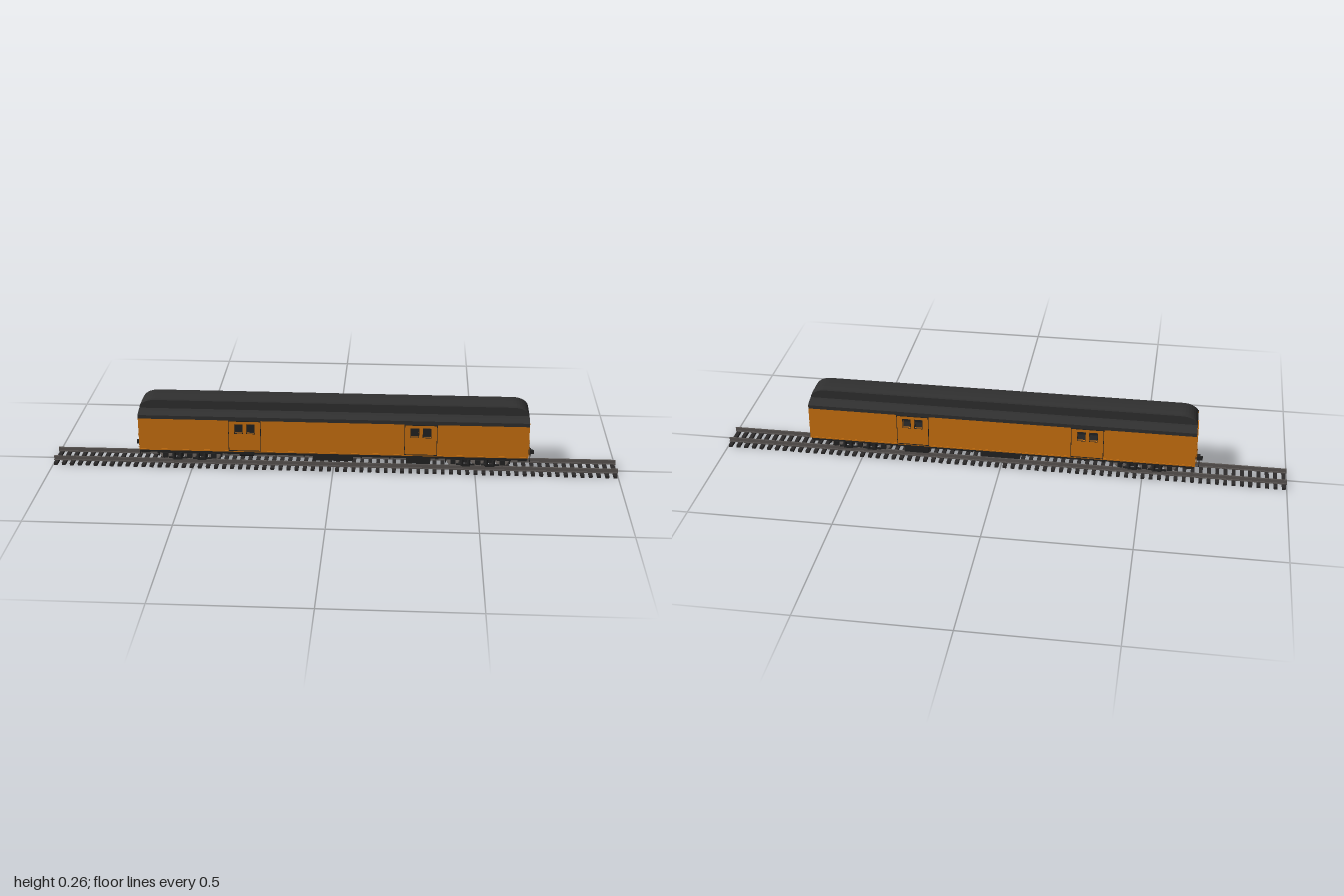
import * as THREE from 'three';

const mat = (name, color, side = THREE.FrontSide) => {
  const m = new THREE.MeshStandardMaterial({ color, side });
  m.name = name;
  return m;
};

export function createModel() {
  const orange = mat('body orange', 0xd07410);
  const trim = mat('shaded orange trim', 0x9c560c);
  const roofDark = mat('roof charcoal', 0x303030, THREE.DoubleSide);
  const black = mat('underframe black', 0x242424);
  const tieMat = mat('tie dark', 0x2c2a2a);
  const steel = mat('rail steel', 0x5c5754);
  const wheelMat = mat('wheel grey', 0x77706b);

  const car = new THREE.Group();
  car.name = 'baggageCarOnTrack';
  const add = (parent, name, geo, m, x = 0, y = 0, z = 0) => {
    const mesh = new THREE.Mesh(geo, m);
    mesh.name = name;
    mesh.position.set(x, y, z);
    parent.add(mesh);
    return mesh;
  };
  const group = (name, parent = car) => {
    const g = new THREE.Group();
    g.name = name;
    parent.add(g);
    return g;
  };
  // box given by its limits
  const box = (parent, name, m, x0, x1, y0, y1, z0, z1) =>
    add(parent, name, new THREE.BoxGeometry(x1 - x0, y1 - y0, z1 - z0), m,
      (x0 + x1) / 2, (y0 + y1) / 2, (z0 + z1) / 2);
  const cyl = (parent, name, m, r, len, axis, x, y, z, seg = 16) => {
    const geo = new THREE.CylinderGeometry(r, r, len, seg);
    if (axis === 'z') geo.rotateX(Math.PI / 2);
    if (axis === 'x') geo.rotateZ(Math.PI / 2);
    return add(parent, name, geo, m, x, y, z);
  };
  // flat panel with rectangular openings, [x0, x1, y0, y1]
  const rect = (S, [a, b, c, d]) => {
    const s = new S();
    s.moveTo(a, c).lineTo(b, c).lineTo(b, d).lineTo(a, d).closePath();
    return s;
  };
  const panel = (outer, holes, depth) => {
    const s = rect(THREE.Shape, outer);
    s.holes = holes.map(h => rect(THREE.Path, h));
    return new THREE.ExtrudeGeometry(s, { depth, bevelEnabled: false });
  };

  // ---- track ----
  const track = group('track');
  const tieGeo = new THREE.BoxGeometry(0.013, 0.009, 0.126);
  const ties = 70;
  for (let i = 0; i < ties; i++)
    add(track, 'tie', tieGeo, tieMat, -0.99 + (1.98 * i) / (ties - 1), 0.0045, 0);
  for (const s of [-1, 1]) {
    const z = s * 0.037;
    box(track, 'railFoot', steel, -1, 1, 0.009, 0.012, z - 0.005, z + 0.005);
    box(track, 'railWeb', steel, -1, 1, 0.012, 0.02, z - 0.001, z + 0.001);
    box(track, 'railHead', steel, -1, 1, 0.02, 0.025, z - 0.0025, z + 0.0025);
  }

  // ---- body sides, with doors and window openings ----
  const windows = [];
  for (const c of [-0.307, 0.307])
    for (const o of [-0.021, 0.021]) windows.push([c + o - 0.013, c + o + 0.013, 0.15, 0.182]);
  const body = group('body');
  for (const turn of [0, Math.PI]) {
    const side = group('sideWall', body);
    side.rotation.y = turn;
    add(side, 'sidePanel', panel([-0.68, 0.68, 0.078, 0.208], windows, 0.004), orange, 0, 0, 0.079);
    add(side, 'sideLining', panel([-0.675, 0.675, 0.078, 0.208], windows, 0.002), black, 0, 0, 0.077);
    box(side, 'letterboard', roofDark, -0.68, 0.68, 0.197, 0.21, 0.082, 0.0842);
    box(side, 'lowerSill', orange, -0.68, 0.68, 0.078, 0.083, 0.083, 0.0842);
    for (const c of [-0.307, 0.307]) {
      const holes = windows.filter(w => Math.abs(w[0] - c) < 0.1);
      add(side, 'baggageDoor', panel([c - 0.055, c + 0.055, 0.085, 0.194], holes, 0.003), orange, 0, 0, 0.083);
      for (const e of [-0.056, 0.056])
        box(side, 'doorEdge', black, c + e - 0.001, c + e + 0.001, 0.084, 0.196, 0.083, 0.0858);
      box(side, 'doorTrack', black, c - 0.057, c + 0.057, 0.194, 0.197, 0.083, 0.0866);
      box(side, 'doorStep', black, c - 0.057, c + 0.057, 0.082, 0.085, 0.083, 0.0866);
      for (const [a, b, lo, hi] of holes) {
        add(side, 'windowFrame', panel([a - 0.002, b + 0.002, lo - 0.002, hi + 0.002],
          [[a, b, lo, hi]], 0.001), black, 0, 0, 0.0858);
      }
    }
  }

  // ---- end walls with doorway, grab irons and couplers ----
  const endWindow = [-0.013, 0.013, 0.147, 0.182];
  for (const s of [1, -1]) {
    const end = group('endWall', body);
    end.rotation.y = s * Math.PI / 2;
    add(end, 'endPanel', panel([-0.083, 0.083, 0.078, 0.21], [endWindow], 0.004), orange, 0, 0, 0.6765);
    add(end, 'endLining', panel([-0.077, 0.077, 0.078, 0.208], [endWindow], 0.002), black, 0, 0, 0.6745);
    add(end, 'doorFrame', panel([-0.028, 0.028, 0.084, 0.2], [[-0.023, 0.023, 0.086, 0.194]], 0.004),
      orange, 0, 0, 0.68);
    add(end, 'doorOutline', panel([-0.023, 0.023, 0.086, 0.194], [[-0.0215, 0.0215, 0.088, 0.192]], 0.001),
      trim, 0, 0, 0.6805);
    add(end, 'frameOutline', panel([-0.0292, 0.0292, 0.083, 0.2012], [[-0.028, 0.028, 0.084, 0.2]], 0.001),
      trim, 0, 0, 0.6805);
    cyl(end, 'grabIron', trim, 0.001, 0.055, 'y', -0.058, 0.108, 0.685, 8);
    for (const y of [0.081, 0.135]) cyl(end, 'grabBracket', trim, 0.001, 0.006, 'z', -0.058, y, 0.683, 8);
    for (const x of [-0.078, 0.078])
      for (const y of [0.088, 0.135]) cyl(end, 'handholdBolt', trim, 0.0012, 0.004, 'z', x, y, 0.682, 8);
    // coupler
    box(end, 'drawbar', black, -0.006, 0.006, 0.064, 0.074, 0.64, 0.69);
    box(end, 'couplerHead', black, -0.01, 0.008, 0.061, 0.077, 0.687, 0.697);
    box(end, 'couplerKnuckle', black, -0.01, -0.003, 0.062, 0.076, 0.697, 0.706);
    box(end, 'bufferPlate', black, -0.014, 0.014, 0.066, 0.08, 0.68, 0.685);
    cyl(end, 'airHose', black, 0.0014, 0.04, 'y', 0.004, 0.046, 0.694, 8);
  }

  // ---- lower roof deck ----
  const deck = new THREE.Shape();
  deck.moveTo(-0.0845, 0.207).lineTo(0.0845, 0.207).lineTo(0.0845, 0.21)
    .quadraticCurveTo(0.07, 0.219, 0.046, 0.222).lineTo(-0.046, 0.222)
    .quadraticCurveTo(-0.07, 0.219, -0.0845, 0.21).closePath();
  const deckGeo = new THREE.ExtrudeGeometry(deck, { depth: 1.36, bevelEnabled: false, curveSegments: 6 });
  deckGeo.translate(0, 0, -0.68).rotateY(Math.PI / 2);
  add(car, 'roofDeck', deckGeo, roofDark);

  // ---- clerestory: sections along x, rounded down at both ends ----
  const sections = [];
  for (let i = 0; i <= 8; i++) {
    const a = (i / 8) * Math.PI / 2;
    sections.push([-0.625 - 0.055 * Math.cos(a), 0.222 + 0.039 * Math.sin(a)]);
  }
  sections.push(...sections.map(([x, h]) => [-x, h]).reverse());
  const half = [[0.046, 0], [0.046, 0.78], [0.043, 0.88], [0.025, 0.97], [0, 1]];
  const ring = [...half, ...half.slice(0, -1).reverse().map(([z, t]) => [-z, t])];
  const pos = [], idx = [], n = ring.length;
  for (const [x, h] of sections)
    for (const [z, t] of ring) pos.push(x, 0.221 + (h - 0.221) * t, z);
  for (let i = 0; i < sections.length - 1; i++)
    for (let j = 0; j < n - 1; j++) {
      const a = i * n + j, b = a + n;
      idx.push(a, b, a + 1, b, b + 1, a + 1);
    }
  let clerestory = new THREE.BufferGeometry();
  clerestory.setAttribute('position', new THREE.Float32BufferAttribute(pos, 3));
  clerestory.setIndex(idx);
  clerestory = clerestory.toNonIndexed();
  clerestory.computeVertexNormals();
  add(car, 'clerestory', clerestory, roofDark);

  // ---- underframe and equipment ----
  const under = group('underframe');
  box(under, 'floor', black, -0.678, 0.678, 0.068, 0.08, -0.077, 0.077);
  box(under, 'centreSill', black, -0.365, 0.365, 0.058, 0.07, -0.014, 0.014);
  for (const s of [-1, 1]) {
    box(under, 'sideSill', black, -0.365, 0.365, 0.063, 0.07, s * 0.066 - 0.004, s * 0.066 + 0.004);
    box(under, 'batteryBox', black, 0.257, 0.342, 0.041, 0.07, s * 0.05 - 0.018, s * 0.05 + 0.018);
    box(under, 'equipmentBox', black, -0.07, 0.07, 0.044, 0.07, s * 0.05 - 0.016, s * 0.05 + 0.016);
    for (const x of [-0.365, 0.365]) box(under, 'endSill', black, x - 0.006, x + 0.006, 0.06, 0.07, -0.07, 0.07);
    box(under, 'cornerStep', black, s * 0.66 - 0.015, s * 0.66 + 0.015, 0.064, 0.07, -0.077, 0.077);
  }
  for (let i = -3; i <= 3; i++)
    box(under, 'crossBeam', black, i * 0.1 - 0.003, i * 0.1 + 0.003, 0.06, 0.07, -0.07, 0.07);
  cyl(under, 'airTank', black, 0.01, 0.05, 'x', -0.305, 0.056, 0.045);
  cyl(under, 'brakeCylinder', black, 0.011, 0.07, 'x', 0.14, 0.057, -0.04);
  cyl(under, 'brakeRod', black, 0.002, 0.6, 'x', 0, 0.056, 0.024, 8);

  // ---- six-wheel trucks ----
  const wheelProfile = [[0, -0.004], [0.02, -0.004], [0.0215, -0.002], [0.0215, 0.002],
    [0.024, 0.0025], [0.024, 0.004], [0.019, 0.004], [0.017, 0.002], [0.008, 0.002], [0.006, 0.004], [0, 0.004]]
    .map(([r, y]) => new THREE.Vector2(r, y));
  const wheelGeo = new THREE.LatheGeometry(wheelProfile, 24);
  for (const c of [-0.508, 0.508]) {
    const truck = group('truck');
    truck.position.x = c;
    for (const x of [-0.086, 0, 0.086]) {
      cyl(truck, 'axle', wheelMat, 0.004, 0.11, 'z', x, 0.047, 0, 12);
      for (const s of [-1, 1]) {
        const wheel = add(truck, 'wheel', wheelGeo, wheelMat, x, 0.047, s * 0.037);
        wheel.rotation.x = -s * Math.PI / 2;
        box(truck, 'journalBox', black, x - 0.009, x + 0.009, 0.039, 0.056, s * 0.055 - 0.005, s * 0.055 + 0.005);
        for (const o of [-0.02, 0.02])
          box(truck, 'brakeShoe', black, x + o * 1.3 - 0.002, x + o * 1.3 + 0.002, 0.036, 0.056,
            s * 0.037 - 0.004, s * 0.037 + 0.004);
      }
    }
    for (const s of [-1, 1]) {
      const z = s * 0.053;
      box(truck, 'sideFrame', black, -0.112, 0.112, 0.055, 0.063, z - 0.004, z + 0.004);
      for (const m of [-0.043, 0.043]) {
        box(truck, 'equalizer', black, m - 0.032, m + 0.032, 0.034, 0.039, z - 0.003, z + 0.003);
        for (const o of [-0.012, 0.012]) cyl(truck, 'spring', black, 0.006, 0.02, 'y', m + o, 0.047, z, 10);
        box(truck, 'springHanger', black, m - 0.016, m + 0.016, 0.03, 0.034, s * 0.05 - 0.006, s * 0.05 + 0.006);
      }
    }
    for (const x of [-0.043, 0.043]) box(truck, 'bolster', black, x - 0.009, x + 0.009, 0.043, 0.064, -0.052, 0.052);
    for (const x of [-0.112, 0.112]) box(truck, 'endTransom', black, x - 0.003, x + 0.003, 0.053, 0.061, -0.055, 0.055);
    box(truck, 'centrePlate', black, -0.052, 0.052, 0.06, 0.069, -0.016, 0.016);
  }
  return car;
}
